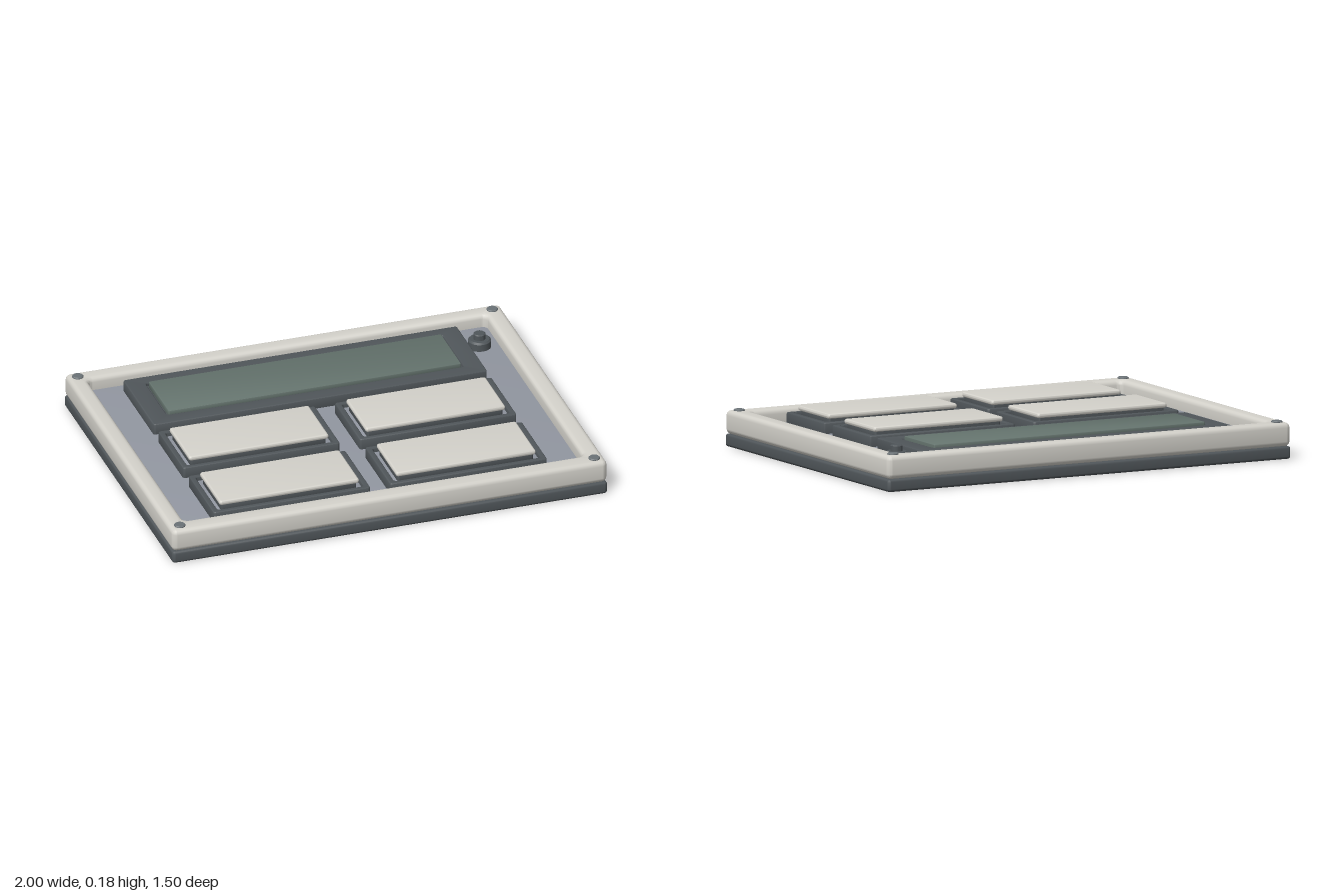
import * as THREE from 'three';
import { toCreasedNormals } from 'three/addons/utils/BufferGeometryUtils.js';

const mat = (color) => new THREE.MeshStandardMaterial({ color });
const shellMat = mat(0xd4d2cb);
const darkMat = mat(0x50565a);
const panelMat = mat(0x9297a1);
const glassMat = mat(0x65746e);
const screwMat = mat(0x6b7276);

// Adds a rounded rectangle, centred on (x, y), to a shape or path
function roundRect(path, x, y, w, h, r) {
  const a = w / 2, b = h / 2;
  path.moveTo(x - a + r, y - b);
  path.lineTo(x + a - r, y - b);
  path.absarc(x + a - r, y - b + r, r, -Math.PI / 2, 0);
  path.absarc(x + a - r, y + b - r, r, 0, Math.PI / 2);
  path.absarc(x - a + r, y + b - r, r, Math.PI / 2, Math.PI);
  path.absarc(x - a + r, y - b + r, r, Math.PI, Math.PI * 1.5);
  path.closePath();
  return path;
}

// Flat slab with rounded edges. rect and hole are [x0, x1, z0, z1]
function slab(name, material, rect, y0, y1, bevel, radius, hole) {
  const add = (path, [x0, x1, z0, z1], grow, r) =>
    roundRect(path, (x0 + x1) / 2, -(z0 + z1) / 2, x1 - x0 + 2 * grow, z1 - z0 + 2 * grow, r);
  const shape = add(new THREE.Shape(), rect, -bevel, Math.max(radius - bevel, 0.003));
  if (hole) shape.holes.push(add(new THREE.Path(), hole, bevel, radius + bevel));
  const geo = new THREE.ExtrudeGeometry(shape, {
    depth: y1 - y0 - 2 * bevel, bevelSize: bevel, bevelThickness: bevel,
    bevelSegments: 4, curveSegments: 4,
  });
  geo.rotateX(-Math.PI / 2).translate(0, y0 + bevel, 0);
  const mesh = new THREE.Mesh(toCreasedNormals(geo, 0.6), material);
  mesh.name = name;
  return mesh;
}

// Upright disc with a chamfered top edge
function disc(name, material, x, z, r, y0, y1) {
  const c = r * 0.15;
  const pts = [[0, y0], [r, y0], [r, y1 - c], [r - c, y1], [0, y1]].map(([a, b]) => new THREE.Vector2(a, b));
  const mesh = new THREE.Mesh(toCreasedNormals(new THREE.LatheGeometry(pts, 24), 0.5), material);
  mesh.position.set(x, 0, z);
  mesh.name = name;
  return mesh;
}

export function createModel() {
  const model = new THREE.Group();
  model.name = 'controlPanel';

  // Casing: dark base, light raised frame, recessed face plate
  model.add(slab('base', darkMat, [-1, 1, -0.75, 0.75], 0, 0.056, 0.012, 0.015));
  model.add(slab('frame', shellMat, [-1, 1, -0.75, 0.75], 0.056, 0.16, 0.022, 0.024, [-0.92, 0.915, -0.67, 0.66]));
  model.add(slab('facePlate', panelMat, [-0.94, 0.94, -0.69, 0.68], 0.05, 0.1, 0.003, 0.01));

  // Display with its surround
  const display = new THREE.Group();
  display.name = 'display';
  display.add(slab('displayBezel', darkMat, [-0.77, 0.765, -0.63, -0.205], 0.095, 0.15, 0.006, 0.012,
    [-0.685, 0.68, -0.57, -0.275]));
  display.add(slab('displayWell', darkMat, [-0.7, 0.7, -0.58, -0.265], 0.095, 0.135, 0.003, 0.01));
  display.add(slab('displayGlass', glassMat, [-0.675, 0.67, -0.562, -0.283], 0.13, 0.162, 0.004, 0.006));
  model.add(display);

  // Four wide keys, each in a dark surround
  for (const x of [-0.41, 0.4025]) {
    for (const z of [0.03, 0.45]) {
      const box = (a, b) => [x - a, x + a, z - b, z + b];
      const key = new THREE.Group();
      key.name = 'key';
      key.add(slab('keySurround', darkMat, box(0.361, 0.176), 0.095, 0.15, 0.006, 0.012, box(0.335, 0.152)));
      key.add(slab('keyWell', panelMat, box(0.345, 0.16), 0.095, 0.13, 0.003, 0.01));
      key.add(slab('keyStem', darkMat, box(0.312, 0.13), 0.12, 0.165, 0.003, 0.01));
      key.add(slab('keyCap', shellMat, box(0.321, 0.141), 0.158, 0.18, 0.009, 0.012));
      model.add(key);
    }
  }

  // Small round button beside the display
  model.add(disc('buttonCollar', darkMat, 0.83, -0.51, 0.051, 0.095, 0.14));
  model.add(disc('button', darkMat, 0.83, -0.51, 0.027, 0.13, 0.167));

  // Corner screws
  for (const x of [-0.953, 0.953]) {
    for (const z of [-0.703, 0.703]) model.add(disc('screw', screwMat, x, z, 0.025, 0.15, 0.167));
  }
  return model;
}
